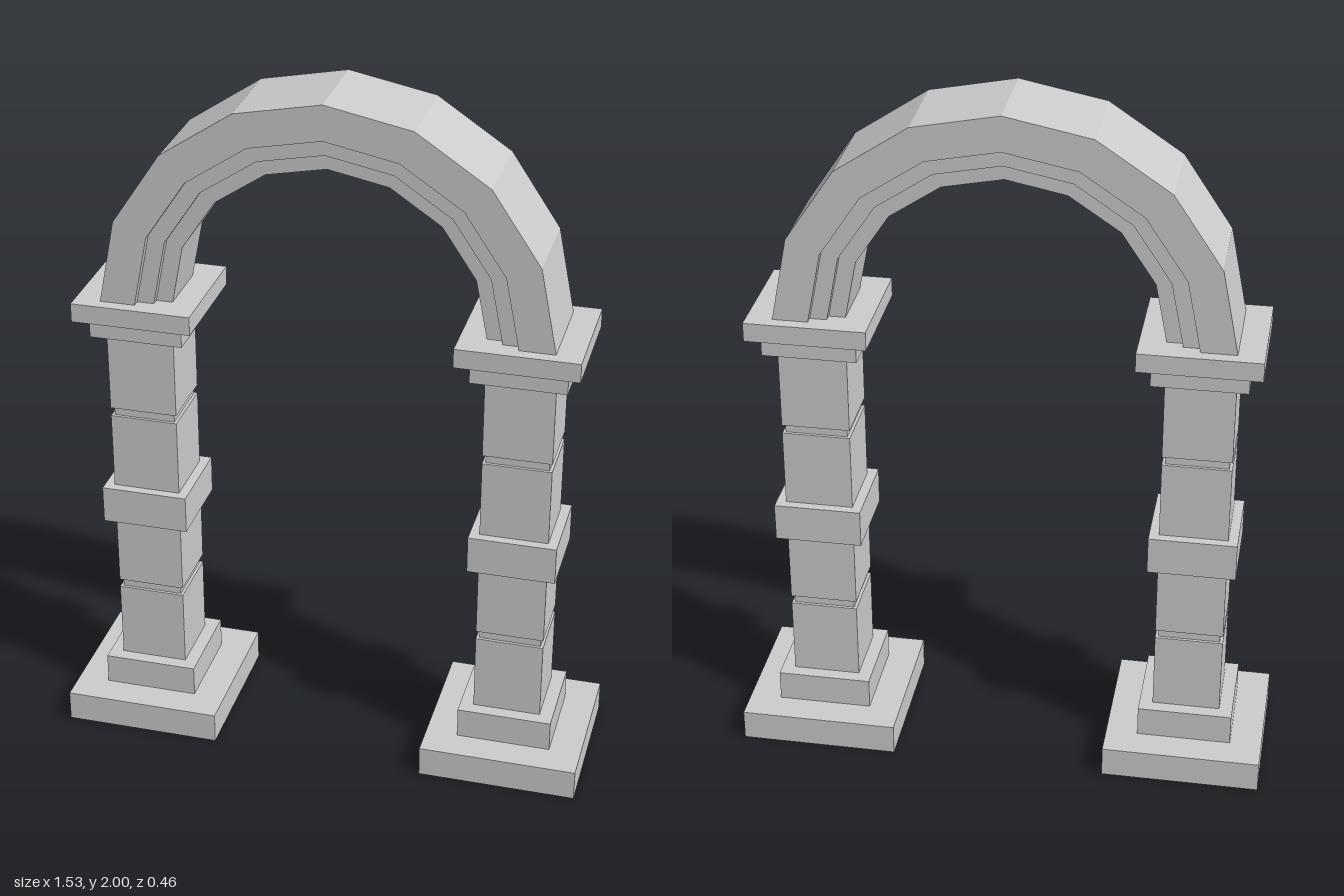
import * as THREE from 'three';

const material = new THREE.MeshStandardMaterial({ color: 0xcccccc, flatShading: true });

const COLUMN_X = 0.5375;
const SPRING_Y = 1.365;

// Square blocks of one column: name, width, bottom, top
const BLOCKS = [
  ['plinth', 0.455, 0, 0.09],
  ['plinthStep', 0.272, 0.09, 0.18],
  ['lowerShaft', 0.195, 0.18, 0.41],
  ['lowerGroove', 0.178, 0.41, 0.435],
  ['middleShaft', 0.195, 0.435, 0.65],
  ['shaftBand', 0.25, 0.65, 0.76],
  ['upperShaft', 0.195, 0.76, 0.987],
  ['upperGroove', 0.178, 0.987, 1.012],
  ['topShaft', 0.195, 1.012, 1.25],
  ['capitalStep', 0.267, 1.25, 1.31],
  ['capital', 0.342, 1.31, SPRING_Y],
];

function createColumn(name, x) {
  const column = new THREE.Group();
  column.name = name;
  column.position.x = x;
  for (const [part, width, bottom, top] of BLOCKS) {
    const block = new THREE.Mesh(new THREE.BoxGeometry(width, top - bottom, width), material);
    block.name = part;
    block.position.y = (bottom + top) / 2;
    column.add(block);
  }
  return column;
}

function createArch() {
  // Stepped cross-section (radius, depth), front half from the outside inwards
  const front = [
    [0.635, 0.135], [0.535, 0.135],
    [0.535, 0.112], [0.487, 0.112],
    [0.487, 0.09], [0.44, 0.09],
  ];
  const back = front.map(([r, z]) => [r, -z]).reverse();
  const profile = [...front, ...back, front[0]].map(([r, z]) => new THREE.Vector2(r, z));

  // Half turn in eight straight segments, stood upright on the capitals
  const geometry = new THREE.LatheGeometry(profile, 8, Math.PI / 2, Math.PI);
  geometry.rotateX(Math.PI / 2);
  const arch = new THREE.Mesh(geometry, material);
  arch.name = 'arch';
  arch.position.y = SPRING_Y;
  return arch;
}

export function createModel() {
  const model = new THREE.Group();
  model.name = 'archway';
  model.add(createColumn('leftColumn', COLUMN_X));
  model.add(createColumn('rightColumn', -COLUMN_X));
  model.add(createArch());
  return model;
}
